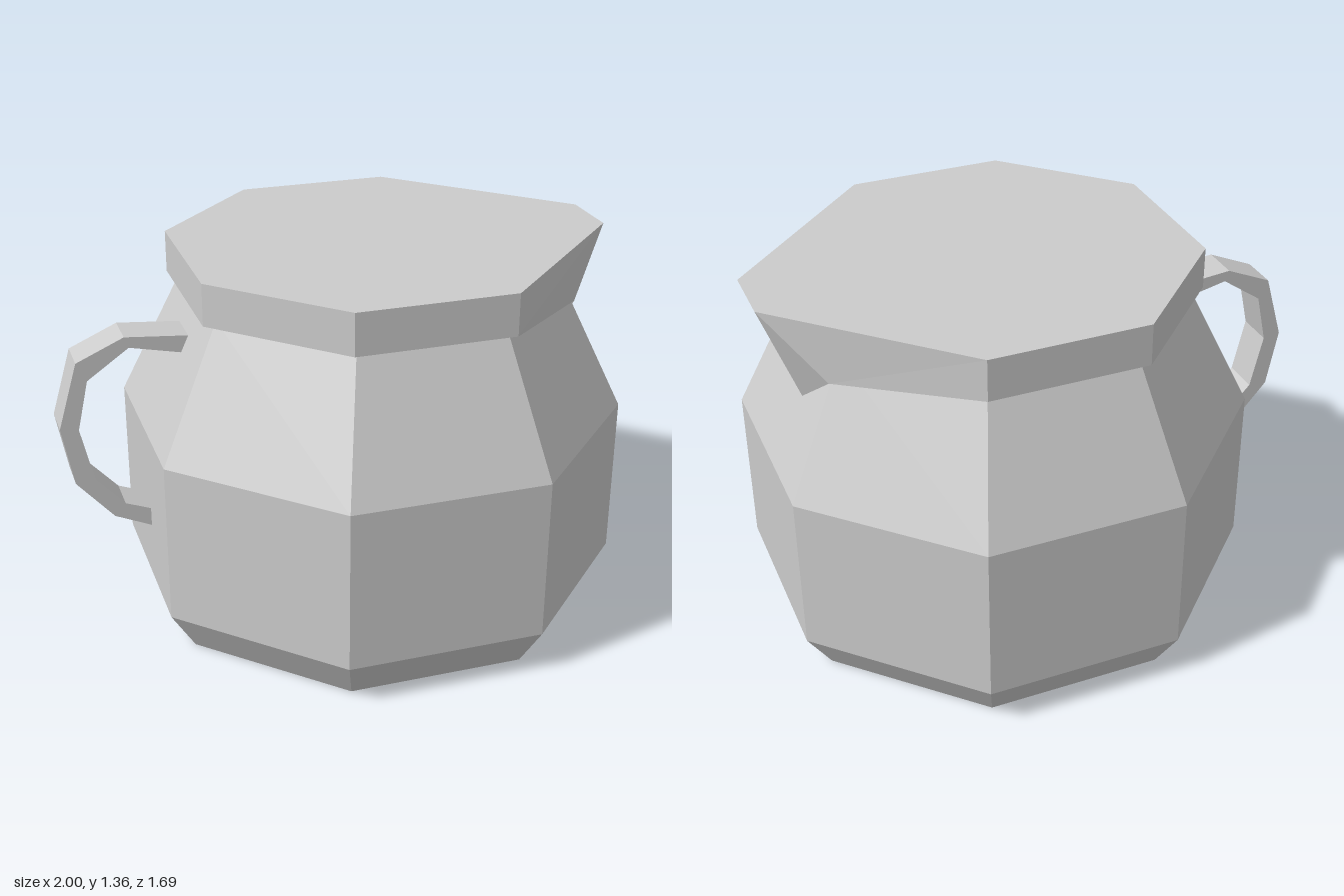
import * as THREE from 'three';

const CX = 0.145; // the pot's axis sits off centre to make room for the handle
const mat = new THREE.MeshStandardMaterial({ color: 0xcccccc, flatShading: true });

function add(group, name, geometry) {
  const mesh = new THREE.Mesh(geometry, mat);
  mesh.name = name;
  group.add(mesh);
  return mesh;
}

// Builds a closed solid between two rings with equal corner counts, capped at both ends
function loft(bottom, top) {
  const n = bottom.length;
  const pos = [...bottom, ...top].flat();
  const idx = [];
  for (let i = 0; i < n; i++) {
    const j = (i + 1) % n;
    idx.push(i, n + i, j, j, n + i, n + j);
    if (i > 0 && i < n - 1) idx.push(0, i, i + 1, n, n + i + 1, n + i);
  }
  const g = new THREE.BufferGeometry();
  g.setAttribute('position', new THREE.Float32BufferAttribute(pos, 3));
  g.setIndex(idx);
  const flat = g.toNonIndexed();
  flat.computeVertexNormals();
  return flat;
}

export function createModel() {
  const group = new THREE.Group();
  group.name = 'jug';

  // Eight-sided body; profile widths are measured to the flat sides
  const profile = [[0, 0], [0.755, 0], [0.845, 0.155], [0.845, 0.74], [0.627, 1.215], [0, 1.215]];
  const points = profile.map(([a, y]) => new THREE.Vector2(a / Math.cos(Math.PI / 8), y));
  const body = new THREE.LatheGeometry(points, 8, Math.PI / 8).toNonIndexed();
  body.computeVertexNormals();
  add(group, 'body', body).position.x = CX;

  // Collar with closed top, its +x side drawn out into a pouring lip
  const a = 0.675, c = 0.28, z0 = -0.006;
  const back = y => [
    [CX + c, y, z0 - a], [CX - c, y, z0 - a], [CX - a, y, z0 - c],
    [CX - a, y, z0 + c], [CX - c, y, z0 + a], [CX + c, y, z0 + a],
  ];
  const bottom = [...back(1.205), [0.82, 1.137, z0 + c], [0.872, 1.005, z0 + 0.113],
    [0.872, 1.005, z0 - 0.113], [0.82, 1.137, z0 - c]];
  // top lip corners are doubled so each side closes with a triangle
  const lipL = [1, 1.355, z0 + 0.115], lipR = [1, 1.355, z0 - 0.115];
  const top = [...back(1.355), lipL, lipL, lipR, lipR];
  // rings run clockwise from above, so reverse them to face outwards
  add(group, 'collarWithSpout', loft(orient(bottom), orient(top)));

  // Angular loop handle
  const outline = [
    [-0.52, 1.093], [-0.76, 1.115], [-0.93, 1.04], [-1, 0.8], [-0.96, 0.585], [-0.83, 0.435], [-0.68, 0.367],
    [-0.68, 0.437], [-0.79, 0.48], [-0.89, 0.59], [-0.935, 0.79], [-0.895, 0.97], [-0.745, 1.075], [-0.53, 1.027],
  ].map(p => new THREE.Vector2(...p));
  const handle = new THREE.ExtrudeGeometry(new THREE.Shape(outline), { depth: 0.14, bevelEnabled: false });
  add(group, 'handle', handle).position.z = -0.07;

  return group;
}

// Puts a ring in the order that makes lofted sides face outwards
function orient(ring) {
  let area = 0;
  ring.forEach(([x, , z], i) => {
    const [x2, , z2] = ring[(i + 1) % ring.length];
    area += x * z2 - x2 * z;
  });
  return area > 0 ? ring : [...ring].reverse();
}
